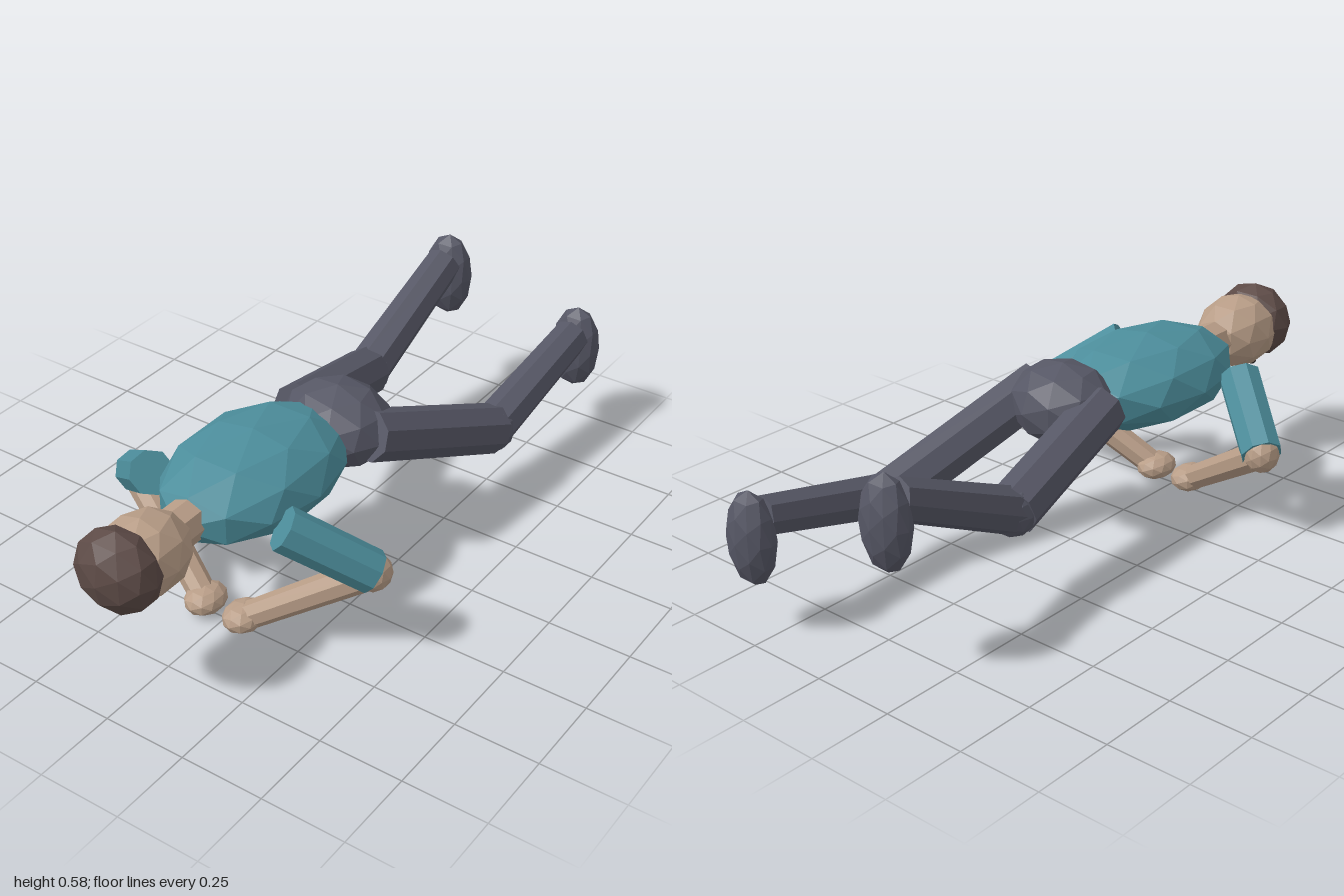
import * as THREE from 'three';

const mat = (name, color) => {
  const m = new THREE.MeshStandardMaterial({ color, flatShading: true });
  m.name = name;
  return m;
};

export function createModel() {
  const model = new THREE.Group();
  model.name = 'crawlingFigure';
  const shirt = mat('teal shirt', 0x4c8d9b);
  const skin = mat('skin', 0xb89d87);
  const hair = mat('brown hair', 0x5c4a46);
  const trousers = mat('slate trousers', 0x565765);
  const eyeDark = mat('dark eyes', 0x2b2422);

  // Faceted ellipsoid
  const blob = (name, material, center, radii) => {
    const mesh = new THREE.Mesh(new THREE.IcosahedronGeometry(1, 1), material);
    mesh.name = name;
    mesh.position.set(...center);
    mesh.scale.set(...radii);
    model.add(mesh);
    return mesh;
  };

  // Eight-sided limb running between two points
  const limb = (name, material, from, to, r0, r1) => {
    const a = new THREE.Vector3(...from), b = new THREE.Vector3(...to);
    const dir = b.clone().sub(a);
    const mesh = new THREE.Mesh(new THREE.CylinderGeometry(r1, r0, dir.length(), 8), material);
    mesh.name = name;
    mesh.position.copy(a).add(b).multiplyScalar(0.5);
    mesh.quaternion.setFromUnitVectors(new THREE.Vector3(0, 1, 0), dir.normalize());
    model.add(mesh);
  };

  // Trunk and head
  blob('torso', shirt, [0, 0.42, 0.35], [0.22, 0.135, 0.33]);
  blob('pelvis', trousers, [0.05, 0.423, 0.025], [0.172, 0.123, 0.15]).rotation.y = -0.2;
  limb('neck', skin, [0, 0.425, 0.58], [0, 0.425, 0.75], 0.062, 0.062);
  blob('head', skin, [0, 0.425, 0.82], [0.12, 0.115, 0.148]);
  blob('hair', hair, [0, 0.435, 0.912], [0.127, 0.12, 0.09]);

  // Arms and eyes, mirrored
  for (const [side, s] of [['left', 1], ['right', -1]]) {
    const shoulder = [s * 0.22, 0.42, 0.52];
    const elbow = [s * 0.41, 0.27, 0.375];
    const wrist = [s * 0.08, 0.047, 0.495];
    limb(side + 'UpperArm', shirt, shoulder, elbow, 0.064, 0.062);
    blob(side + 'Elbow', skin, elbow, [0.052, 0.056, 0.054]);
    limb(side + 'Forearm', skin, elbow, wrist, 0.046, 0.04);
    blob(side + 'Hand', skin, [s * 0.067, 0.044, 0.5], [0.058, 0.041, 0.07]);
    blob(side + 'Eye', eyeDark, [s * 0.04, 0.324, 0.85], [0.015, 0.015, 0.015]);
  }

  // Legs, posed differently on each side
  const legs = [
    { side: 'left', hip: [0.17, 0.435, 0.05], knee: [0.283, 0.232, -0.45],
      ankle: [0.297, 0.338, -0.91], foot: [0.298, 0.285, -0.942] },
    { side: 'right', hip: [-0.075, 0.43, 0.05], knee: [-0.142, 0.305, -0.41],
      ankle: [-0.135, 0.5, -0.835], foot: [-0.135, 0.445, -0.865] },
  ];
  for (const { side, hip, knee, ankle, foot } of legs) {
    limb(side + 'Thigh', trousers, hip, knee, 0.077, 0.077);
    blob(side + 'Knee', trousers, knee, [0.072, 0.074, 0.072]);
    limb(side + 'Shin', trousers, knee, ankle, 0.068, 0.058);
    blob(side + 'Foot', trousers, foot, [0.08, 0.14, 0.058]);
  }
  return model;
}
